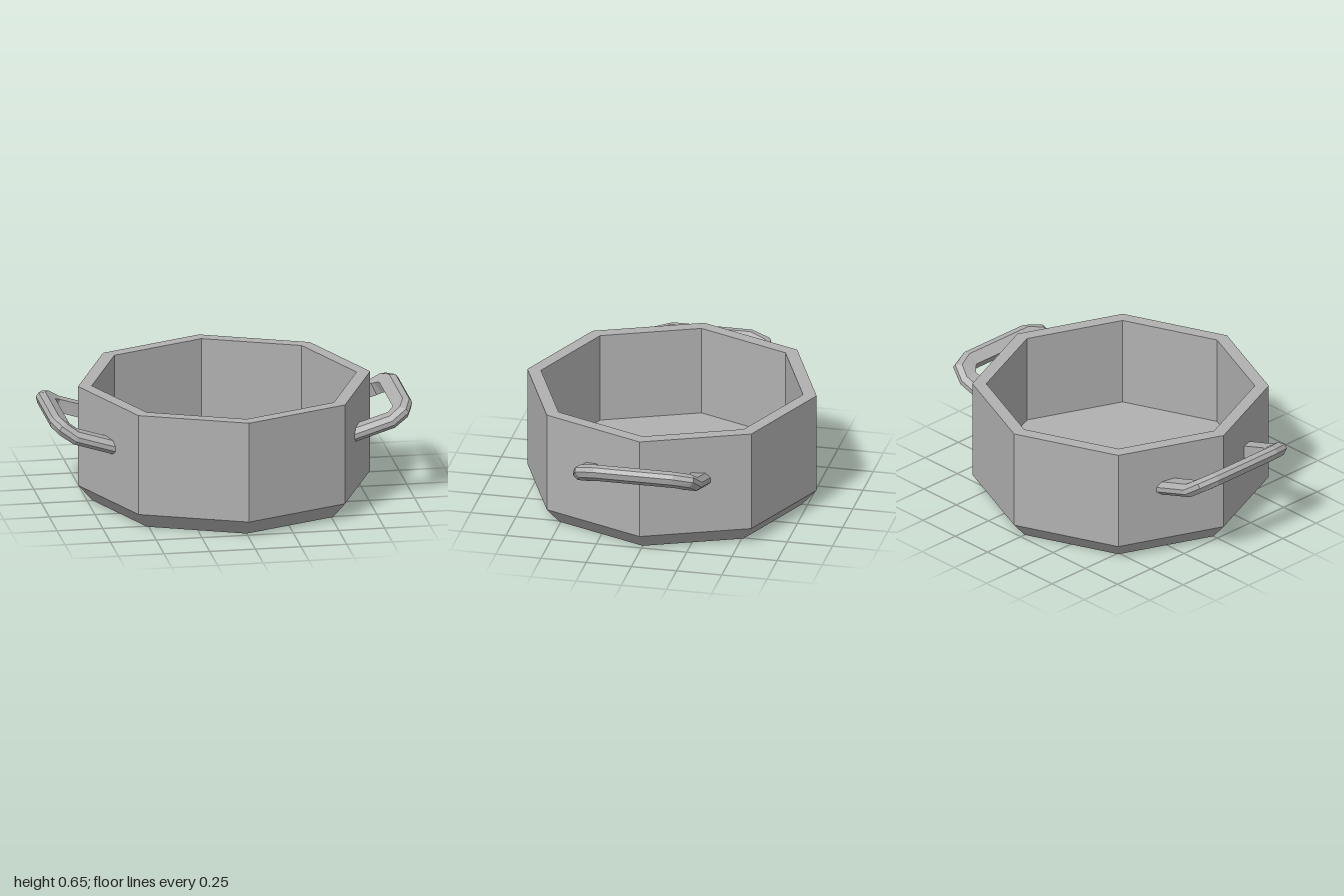
import * as THREE from 'three';

const metal = new THREE.MeshStandardMaterial({ color: 0xb0b0b0, flatShading: true });
metal.name = 'grey metal';

// Eight-sided pot: chamfered foot, straight wall, flat rim, inner wall and floor
function buildPot() {
  const profile = [
    [0, 0], [0.72, 0], [0.8, 0.09], [0.8, 0.65], [0.725, 0.65], [0.725, 0.15], [0, 0.15],
  ].map(([r, y]) => new THREE.Vector2(r, y));
  const pot = new THREE.Mesh(new THREE.LatheGeometry(profile, 8), metal);
  pot.name = 'pot';
  return pot;
}

// Handle bar: a section with chamfered outer corners swept around a bent U
function handleGeometry() {
  // Section: u points out of the loop, v points up
  const section = [
    [-0.045, -0.037], [0.024, -0.037], [0.051, -0.013],
    [0.051, 0.013], [0.024, 0.037], [-0.045, 0.037],
  ];
  // Half path from wall to bar: centre, outward direction (along slope, along z), slope
  const half = [
    { p: [0.64, 0.392, 0.305], u: [0, 1], slope: 0.3 },
    { p: [0.865, 0.462, 0.305], u: [0, 1], slope: 0.46 },
    { p: [0.915, 0.495, 0.285], u: [0.83, 0.83], slope: 0.75 },
    { p: [0.944, 0.513, 0.22], u: [1, 0], slope: 0.75 },
  ];
  const mirrored = half.map(({ p, u, slope }) => (
    { p: [p[0], p[1], -p[2]], u: [u[0], -u[1]], slope })).reverse();
  const stations = [...half, ...mirrored];

  const positions = [];
  for (const { p, u, slope } of stations) {
    const along = new THREE.Vector3(1, slope, 0).normalize();
    const up = new THREE.Vector3(-along.y, along.x, 0);
    const out = along.clone().multiplyScalar(u[0]);
    out.z = u[1];
    for (const [a, b] of section) {
      const v = new THREE.Vector3(...p).addScaledVector(out, a).addScaledVector(up, b);
      positions.push(v.x, v.y, v.z);
    }
  }

  const n = section.length;
  const last = (stations.length - 1) * n;
  const index = [];
  for (let i = 0; i < stations.length - 1; i++) {
    for (let j = 0; j < n; j++) {
      const a = i * n + j;
      const d = i * n + (j + 1) % n;
      index.push(a, a + n, d + n, a, d + n, d);
    }
  }
  // End caps
  for (let j = 1; j < n - 1; j++) {
    index.push(0, j, j + 1, last, last + j + 1, last + j);
  }
  const geometry = new THREE.BufferGeometry();
  geometry.setAttribute('position', new THREE.Float32BufferAttribute(positions, 3));
  geometry.setIndex(index);
  const faceted = geometry.toNonIndexed();
  faceted.computeVertexNormals();
  return faceted;
}

export function createModel() {
  const model = new THREE.Group();
  model.name = 'cookingPot';
  model.add(buildPot());

  // Matching handles on both sides
  const geometry = handleGeometry();
  for (const [name, turn] of [['leftHandle', 0], ['rightHandle', Math.PI]]) {
    const handle = new THREE.Mesh(geometry, metal);
    handle.name = name;
    handle.rotation.y = turn;
    handle.position.z = -0.004;
    model.add(handle);
  }
  return model;
}
